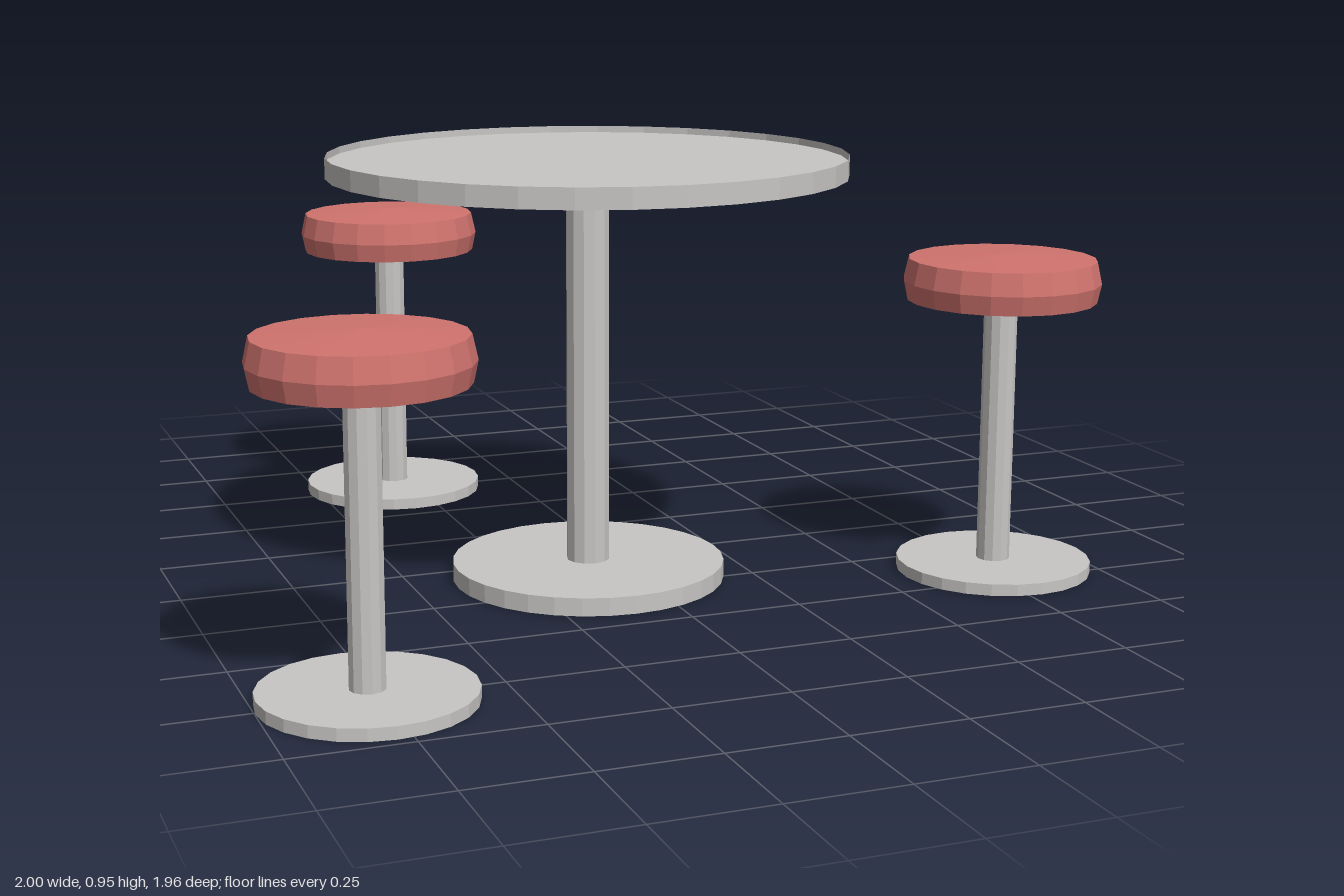
import * as THREE from 'three';

const metal = new THREE.MeshStandardMaterial({ color: 0xc8c6c4, flatShading: true });
metal.name = 'pale grey metal';
const lipMetal = metal.clone();
lipMetal.side = THREE.DoubleSide;
const cushion = new THREE.MeshStandardMaterial({ color: 0xd0736e, flatShading: true });
cushion.name = 'soft red cushion';

// Upright cylinder between two heights
function disc(name, radius, y0, y1, sides, material = metal, open = false) {
  const geometry = new THREE.CylinderGeometry(radius, radius, y1 - y0, sides, 1, open);
  const mesh = new THREE.Mesh(geometry, material);
  mesh.position.y = (y0 + y1) / 2;
  mesh.name = name;
  return mesh;
}

function createTable() {
  const table = new THREE.Group();
  table.name = 'table';
  table.add(
    disc('tableBase', 0.305, 0, 0.04, 32),
    disc('tableColumn', 0.048, 0.04, 0.925, 12),
    disc('tableTop', 0.569, 0.922, 0.94, 32),
    // Thin lip standing proud of the top
    disc('tableLip', 0.57, 0.91, 0.955, 32, lipMetal, true)
  );
  return table;
}

function createStool() {
  const stool = new THREE.Group();
  stool.name = 'stool';
  // Padded seat with a tapered underside and a slightly domed top
  const profile = [[0, 0.622], [0.21, 0.622], [0.219, 0.665], [0.208, 0.715], [0, 0.727]]
    .map(([r, y]) => new THREE.Vector2(r, y));
  const seat = new THREE.Mesh(new THREE.LatheGeometry(profile, 20), cushion);
  seat.name = 'seat';
  stool.add(
    disc('stoolBase', 0.218, 0, 0.026, 24),
    disc('stoolPost', 0.037, 0.026, 0.622, 12),
    seat
  );
  return stool;
}

export function createModel() {
  const model = new THREE.Group();
  model.name = 'tableWithStools';

  const table = createTable();
  table.position.set(-0.103, 0, 0.133);
  model.add(table);

  // Three stools spaced around the table
  for (const [x, z] of [[-0.781, 0.76], [0.779, 0.405], [-0.309, -0.767]]) {
    const stool = createStool();
    stool.position.set(x, 0, z);
    model.add(stool);
  }
  return model;
}
